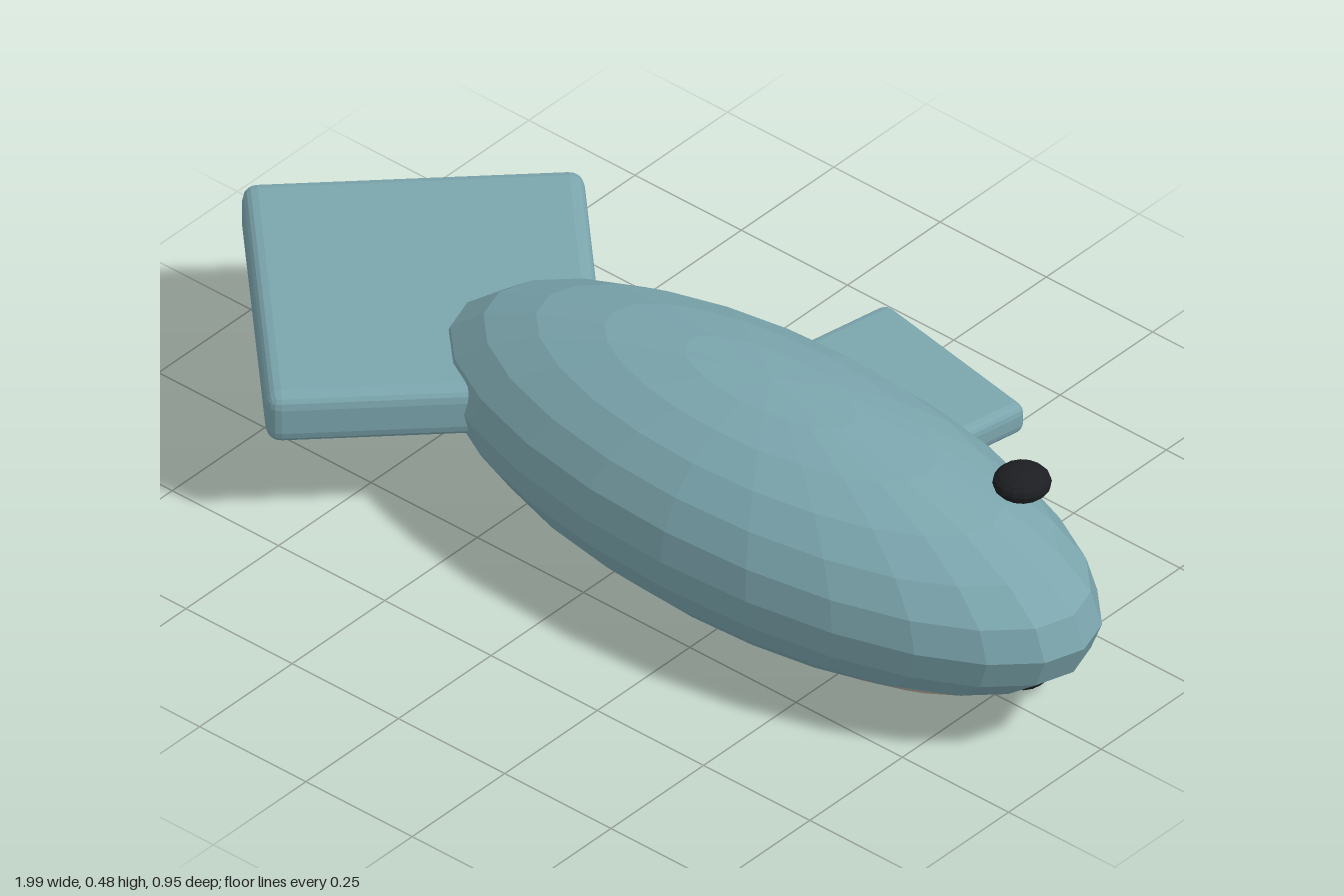
import * as THREE from 'three';
import { RoundedBoxGeometry } from 'three/addons/geometries/RoundedBoxGeometry.js';

const material = (color) => new THREE.MeshStandardMaterial({ color, flatShading: true });

export function createModel() {
  const model = new THREE.Group();
  model.name = 'fish';
  const skin = material(0x7ba5ad);
  const pale = material(0xb5a898);
  const dark = material(0x1c1e21);

  const add = (name, geometry, mat, position, turn = 0) => {
    const mesh = new THREE.Mesh(geometry, mat);
    mesh.name = name;
    mesh.position.set(...position);
    mesh.rotation.y = turn;
    model.add(mesh);
  };
  const ellipsoid = (rx, ry, rz, around, rows) =>
    new THREE.SphereGeometry(1, around, rows).scale(rx, ry, rz);

  // Body, with a pale belly that just breaks through the skin
  add('body', ellipsoid(0.738, 0.24, 0.298, 24, 12), skin, [0.257, 0.244, 0.04]);
  add('belly', ellipsoid(0.58, 0.092, 0.165, 24, 12), pale, [0.255, 0.125, 0.1]);

  // Tail and back fin: flat slabs with softened edges
  add('tail', new RoundedBoxGeometry(0.66, 0.106, 0.61, 2, 0.028), skin,
    [-0.56, 0.244, 0.035], -Math.PI / 4);
  add('backFin', new RoundedBoxGeometry(0.4, 0.062, 0.3, 2, 0.02), skin,
    [0.243, 0.245, -0.302], -0.18);

  // Eyes, one on each flank
  for (const [name, y] of [['upperEye', 0.45], ['lowerEye', 0.039]]) {
    add(name, ellipsoid(0.053, 0.03, 0.053, 16, 10), dark, [0.766, y, -0.055]);
  }
  return model;
}
